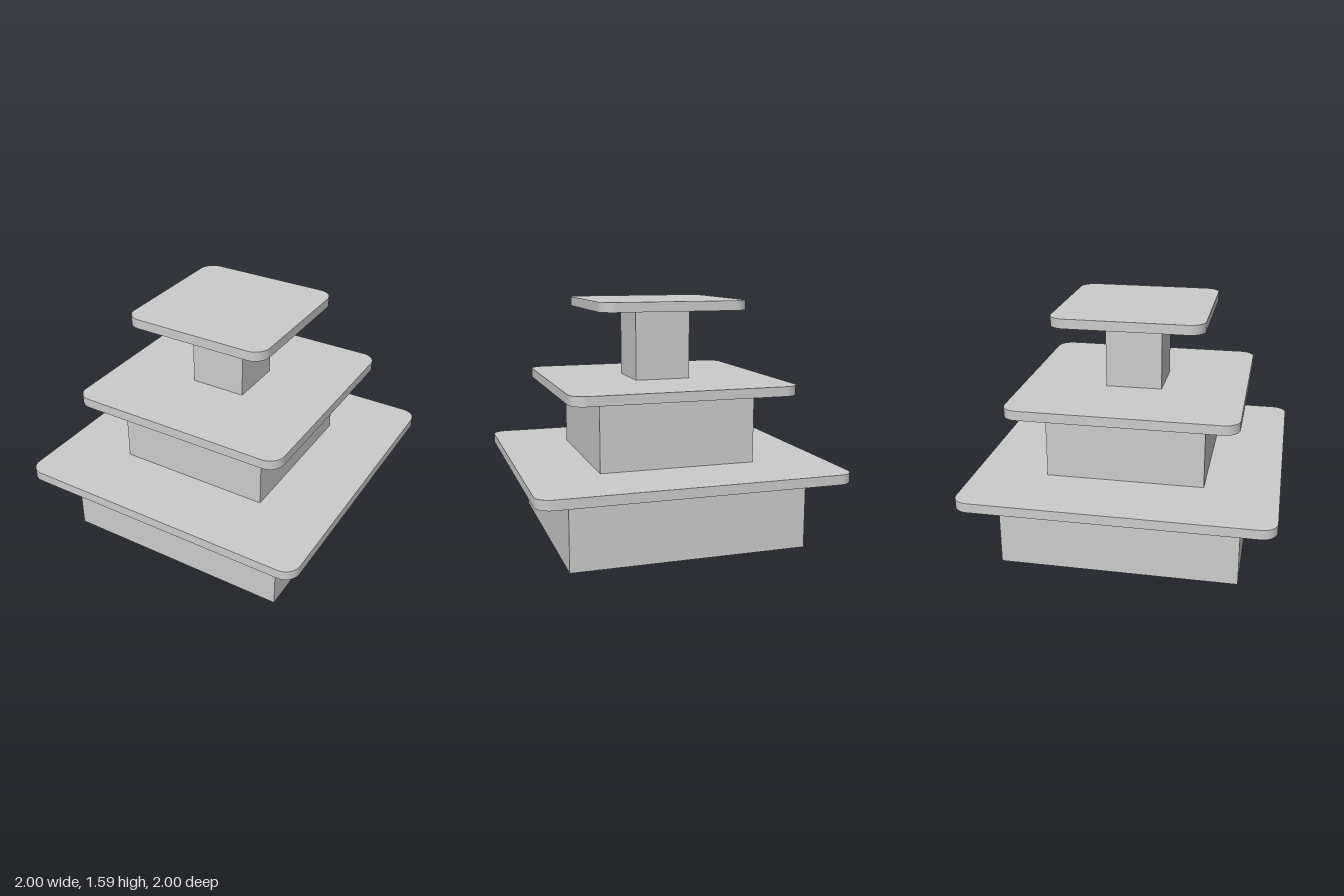
import * as THREE from 'three';
import { toCreasedNormals } from 'three/addons/utils/BufferGeometryUtils.js';

const BODY_HEIGHT = 0.466;
const SLAB_HEIGHT = 0.0625;
const CORNER_RADIUS = 0.1;

// Square outline with rounded corners, h = half width
function roundedSquare(h, r) {
  const shape = new THREE.Shape();
  const c = h - r;
  shape.absarc(c, c, r, 0, Math.PI / 2);
  shape.absarc(-c, c, r, Math.PI / 2, Math.PI);
  shape.absarc(-c, -c, r, Math.PI, Math.PI * 1.5);
  shape.absarc(c, -c, r, Math.PI * 1.5, Math.PI * 2);
  shape.closePath();
  return shape;
}

// Flat slab standing on y = 0, with smooth corners and sharp rims
function slabGeometry(h) {
  const geometry = new THREE.ExtrudeGeometry(roundedSquare(h, CORNER_RADIUS), {
    depth: SLAB_HEIGHT, bevelEnabled: false, curveSegments: 10,
  });
  geometry.rotateX(-Math.PI / 2);
  return toCreasedNormals(geometry, Math.PI / 6);
}

export function createModel() {
  const model = new THREE.Group();
  model.name = 'tieredStand';
  const material = new THREE.MeshStandardMaterial({ color: 0xcccccc });

  // Half widths of each tier, bottom to top
  const tiers = [
    { name: 'lower', body: 0.774, slab: 1 },
    { name: 'middle', body: 0.517, slab: 0.74 },
    { name: 'upper', body: 0.186, slab: 0.49 },
  ];

  tiers.forEach(({ name, body, slab }, i) => {
    const tier = new THREE.Group();
    tier.name = `${name}Tier`;
    tier.position.y = i * (BODY_HEIGHT + SLAB_HEIGHT);

    // Square block
    const block = new THREE.Mesh(new THREE.BoxGeometry(body * 2, BODY_HEIGHT, body * 2), material);
    block.name = `${name}Block`;
    block.position.y = BODY_HEIGHT / 2;

    // Overhanging slab
    const top = new THREE.Mesh(slabGeometry(slab), material);
    top.name = `${name}Slab`;
    top.position.y = BODY_HEIGHT;

    tier.add(block, top);
    model.add(tier);
  });
  return model;
}
